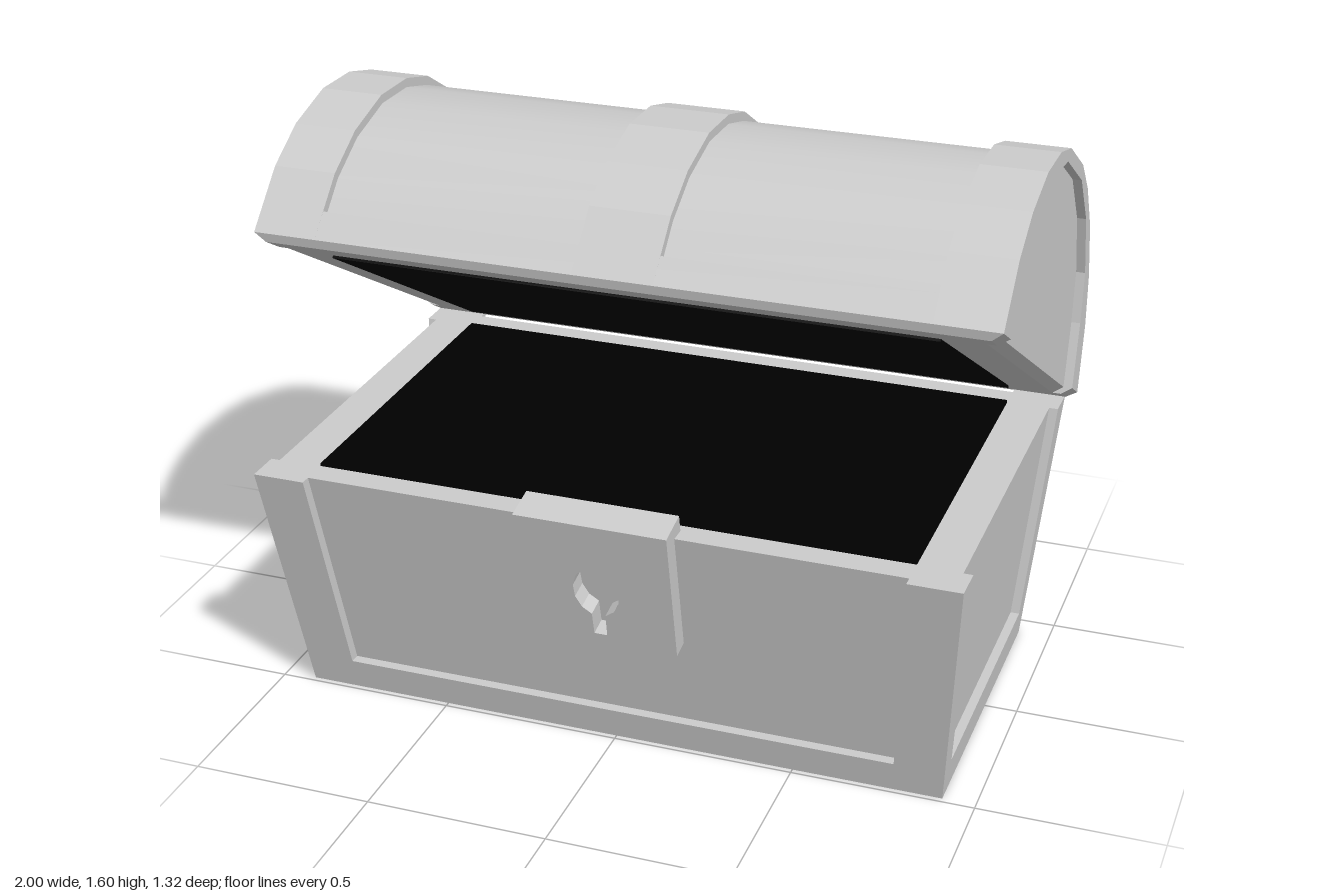
import * as THREE from 'three';
import { toCreasedNormals } from 'three/addons/utils/BufferGeometryUtils.js';

const flat = new THREE.MeshStandardMaterial({ color: 0xcccccc, flatShading: true });
const smooth = new THREE.MeshStandardMaterial({ color: 0xcccccc });
const dark = new THREE.MeshStandardMaterial({ color: 0x000000 });

function add(parent, name, geometry, material = flat) {
  const mesh = new THREE.Mesh(geometry, material);
  mesh.name = name;
  parent.add(mesh);
  return mesh;
}

// Tapered block between a bottom and a top rectangle [x0, x1, z0, z1];
// sx, sz mirror it to another corner.
function block(bottom, y0, top, y1, sx = 1, sz = 1) {
  const g = new THREE.BoxGeometry(1, 1, 1);
  const p = g.attributes.position;
  const pick = (a, b, s, t) => (s * t > 0 ? b : a) * s;
  for (let i = 0; i < p.count; i++) {
    const r = p.getY(i) > 0 ? top : bottom;
    p.setXYZ(i, pick(r[0], r[1], sx, p.getX(i)), p.getY(i) > 0 ? y1 : y0,
      pick(r[2], r[3], sz, p.getZ(i)));
  }
  g.computeVertexNormals();
  return g;
}

// Extrudes a (z, y) outline along x, centred on the given x.
function extrudeX(points, width, x = 0) {
  const shape = new THREE.Shape(points.map(([a, b]) => new THREE.Vector2(a, b)));
  const g = new THREE.ExtrudeGeometry(shape, { depth: width, bevelEnabled: false });
  return g.translate(0, 0, -width / 2).rotateY(-Math.PI / 2).translate(x, 0, 0);
}

// Full arch from half of its points
const arch = (half) => [...half, ...half.map(([z, y]) => [-z, y]).reverse()];

function createBase() {
  const base = new THREE.Group();
  base.name = 'base';
  base.position.z = 0.0275;
  const H = 0.705, railY = 0.09;
  const X = (y) => 0.91 + 0.06 * y / H, Z = (y) => 0.4575 + 0.1525 * y / H;
  const px = (y) => 0.774 + 0.051 * y / H, pz = (y) => 0.39 + 0.12 * y / H;

  // Recessed panels as one tapered body
  const inner = (y) => [-X(y) + 0.025, X(y) - 0.025, -Z(y) + 0.03, Z(y) - 0.03];
  add(base, 'bodyPanels', block(inner(0.03), 0.03, inner(H), H));

  // Corner posts and bottom rails
  const post = (y) => [px(y), X(y), pz(y), Z(y)];
  const longRail = (y) => [-px(y), px(y), 0.39, Z(y)];
  const sideRail = (y) => [0.82, X(y), -pz(y), pz(y)];
  for (const s of [1, -1]) {
    for (const t of [1, -1]) add(base, 'cornerPost', block(post(0), 0, post(H), H, s, t));
    add(base, 'longBottomRail', block(longRail(0), 0, longRail(railY), railY, 1, s));
    add(base, 'sideBottomRail', block(sideRail(0), 0, sideRail(railY), railY, s, 1));
  }

  // Dark opening
  add(base, 'baseOpening', new THREE.BoxGeometry(1.65, 0.01, 1.01).translate(0, H + 0.003, 0), dark);
  return base;
}

function createLatch() {
  const shape = new THREE.Shape([
    [-0.07, 0], [0.07, 0], [0.21, 0.095], [0.21, 0.488], [-0.21, 0.488], [-0.21, 0.095],
  ].map(([x, y]) => new THREE.Vector2(x, y)));

  // Keyhole: round top with a slot below
  const keyhole = [new THREE.Vector2(-0.018, 0.125), new THREE.Vector2(0.018, 0.125)];
  for (let i = 0; i <= 12; i++) {
    const a = -Math.PI / 2 + 0.3 + (i / 12) * (2 * Math.PI - 0.6);
    keyhole.push(new THREE.Vector2(0.064 * Math.cos(a), 0.27 + 0.082 * Math.sin(a)));
  }
  shape.holes.push(new THREE.Path(keyhole));
  const g = new THREE.ExtrudeGeometry(shape, { depth: 0.1, bevelEnabled: false }).translate(0, 0, -0.1);
  const latch = new THREE.Mesh(g, flat);
  latch.name = 'latch';
  latch.position.set(0, 0.255, 0.565);
  latch.rotation.x = Math.atan(0.1525 / 0.705);
  return latch;
}

function createLid() {
  // Hinge sits on the back top edge; the lid is tipped open
  const hinge = new THREE.Group();
  hinge.name = 'lid';
  hinge.position.set(0, 0.7, -0.58);
  hinge.rotation.x = -Math.PI / 6;
  const lid = new THREE.Group();
  lid.name = 'lidParts';
  lid.position.z = 0.613;
  hinge.add(lid);

  const lip = 0.02;
  const outer = [[0.63, lip], [0.58, 0.207], [0.506, 0.338], [0.385, 0.462], [0.245, 0.541], [0.11, 0.579]];
  const inner = [[0.527, lip], [0.485, 0.2], [0.43, 0.335], [0.3, 0.465], [0.128, 0.54]];
  const panel = outer.map(([z, y], i) => [z * 0.96, i ? y * 0.957 : y]);

  // Curved panels, slightly recessed
  add(lid, 'lidPanels', toCreasedNormals(extrudeX(arch(panel), 1.95), 0.45), smooth);

  // Raised bands
  add(lid, 'centreBand', extrudeX(arch(outer), 0.22));
  const endBand = [...arch(outer), ...arch(inner).reverse()];
  for (const s of [1, -1]) add(lid, 'endBand', extrudeX(endBand, 0.175, s * 0.9125));

  // Lower rims along front and back
  const rim = [[0.63, lip], [0.608, 0.1], [0.56, 0.1], [0.56, lip]];
  const lipBlock = block([-0.945, 0.945, -0.613, 0.613], 0, [-0.975, 0.975, -0.63, 0.63], lip);
  add(lid, 'lidLip', lipBlock);
  for (const t of [1, -1]) {
    add(lid, 'lidRim', extrudeX(t > 0 ? rim : rim.map(([z, y]) => [-z, y]), 1.65));
    for (const s of [1, -1]) {
      add(lid, 'lipCorner', block([0.825, 0.97, 0.532, 0.613], 0, [0.825, 1, 0.527, 0.63], lip, s, t));
    }
  }

  // Dark underside
  add(lid, 'lidOpening', new THREE.BoxGeometry(1.65, 0.01, 1.01).translate(0, -0.002, 0), dark);
  return hinge;
}

export function createModel() {
  const chest = new THREE.Group();
  chest.name = 'chest';
  chest.add(createBase(), createLatch(), createLid());
  return chest;
}
